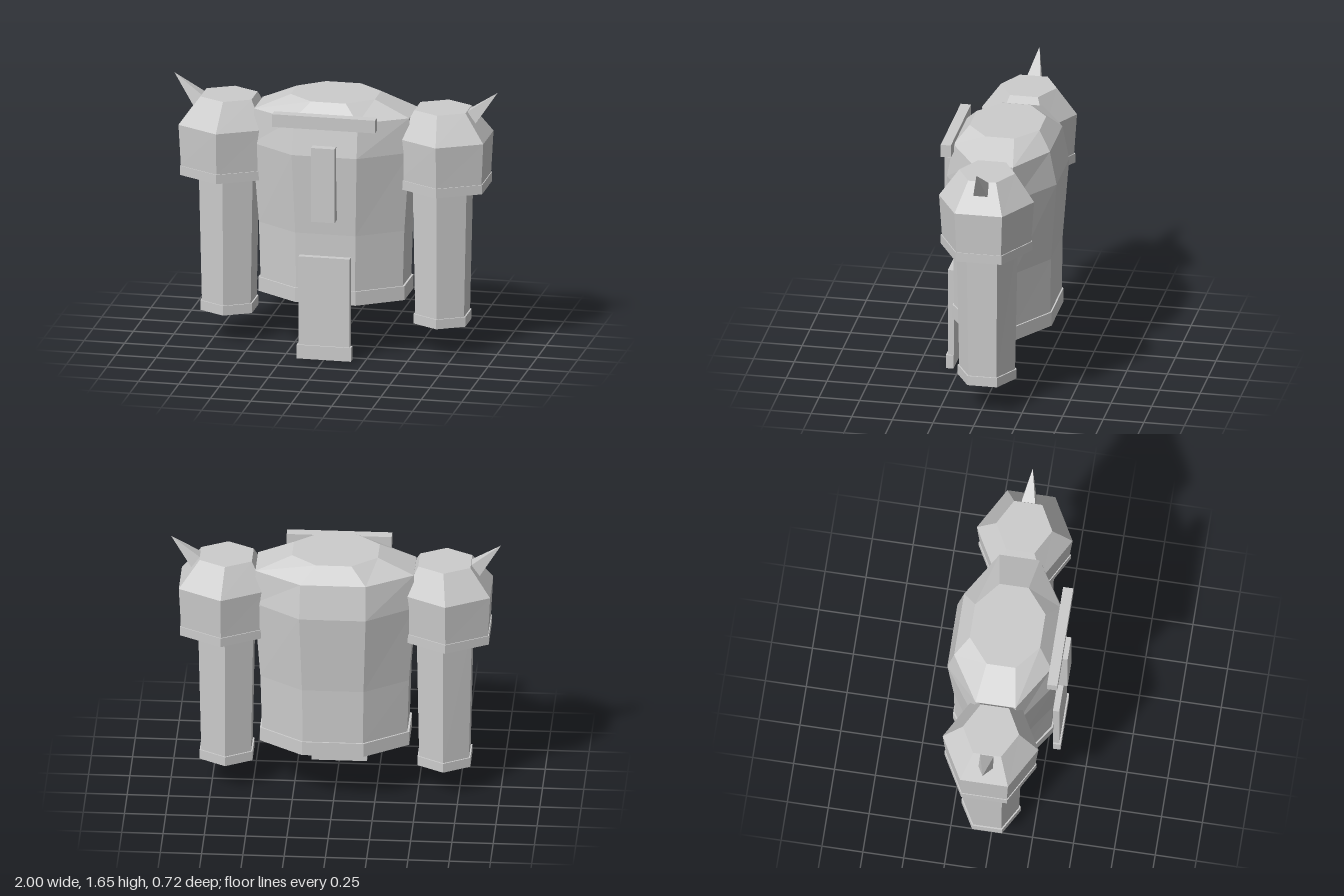
import * as THREE from 'three';

const steel = new THREE.MeshStandardMaterial({ color: 0xcccccc, flatShading: true, side: THREE.DoubleSide });
steel.name = 'plain grey';

// Faceted shell, open below: each ring is [y, half width, half depth, centre x]
function shell(name, sides, rings, capped, mirror = 1) {
  const step = (Math.PI * 2) / sides;
  const angles = Array.from({ length: sides }, (_, i) => (i + 0.5) * step);
  const maxX = Math.max(...angles.map((a) => Math.abs(Math.cos(a))));
  const maxZ = Math.max(...angles.map((a) => Math.abs(Math.sin(a))));
  const pos = [], index = [];
  for (const [y, hx, hz, cx = 0] of rings) {
    for (const a of angles) pos.push(cx * mirror + (hx * Math.cos(a)) / maxX, y, (hz * Math.sin(a)) / maxZ);
  }
  for (let j = 0; j < rings.length - 1; j++) {
    for (let i = 0; i < sides; i++) {
      const a = j * sides + i, b = j * sides + ((i + 1) % sides);
      index.push(a, a + sides, b, b, a + sides, b + sides);
    }
  }
  if (capped) {
    const top = (rings.length - 1) * sides;
    for (let i = 1; i < sides - 1; i++) index.push(top, top + i + 1, top + i);
  }
  const g = new THREE.BufferGeometry();
  g.setAttribute('position', new THREE.Float32BufferAttribute(pos, 3));
  g.setIndex(index);
  const flat = g.toNonIndexed();
  flat.computeVertexNormals();
  const mesh = new THREE.Mesh(flat, steel);
  mesh.name = name;
  mesh.position.z = -0.018;
  return mesh;
}

// Box given by its limits on each axis
function plate(name, [x0, x1], [y0, y1], [z0, z1]) {
  const mesh = new THREE.Mesh(new THREE.BoxGeometry(x1 - x0, y1 - y0, z1 - z0), steel);
  mesh.name = name;
  mesh.position.set((x0 + x1) / 2, (y0 + y1) / 2, (z0 + z1) / 2);
  return mesh;
}

// Sleeve, shoulder guard and spike for one side
function arm(side) {
  const group = new THREE.Group();
  group.name = side > 0 ? 'leftArm' : 'rightArm';
  group.add(shell('sleeve', 6, [
    [0.187, 0.16, 0.182, 0.66], [0.247, 0.16, 0.182, 0.66],
    [0.247, 0.151, 0.172, 0.66], [1.14, 0.168, 0.19, 0.662],
  ], false, side));
  group.add(shell('shoulderGuard', 6, [
    [1.047, 0.255, 0.282, 0.68], [1.105, 0.255, 0.282, 0.68],
    [1.105, 0.25, 0.275, 0.68], [1.365, 0.263, 0.293, 0.68],
    [1.535, 0.158, 0.172, 0.662],
  ], true, side));

  // Four-sided spike leaning outward at 45 degrees
  const length = 0.25;
  const cone = new THREE.ConeGeometry(0.07, length, 4);
  cone.rotateY(Math.PI / 4);
  cone.translate(0, -length / 2, 0);
  cone.rotateZ((-side * Math.PI) / 4);
  const spike = new THREE.Mesh(cone, steel);
  spike.name = 'shoulderSpike';
  spike.position.set(side, 1.65, -0.018);
  group.add(spike);
  return group;
}

export function createModel() {
  const model = new THREE.Group();
  model.name = 'armouredTunic';

  // Eight-sided body with hem band and domed top
  model.add(shell('body', 8, [
    [0.342, 0.452, 0.305], [0.43, 0.452, 0.305],
    [0.43, 0.44, 0.296], [0.78, 0.45, 0.301],
    [1.28, 0.486, 0.338], [1.492, 0.48, 0.297],
    [1.588, 0.26, 0.215],
  ], true));

  model.add(arm(1), arm(-1));

  // Front plates
  model.add(plate('collarBar', [-0.318, 0.318], [1.455, 1.535], [0.272, 0.335]));
  model.add(plate('chestStrip', [-0.073, 0.073], [0.878, 1.345], [0.29, 0.36]));
  model.add(plate('frontFlap', [-0.158, 0.158], [0.08, 0.643], [0.283, 0.322]));
  model.add(plate('flapHem', [-0.168, 0.168], [0, 0.086], [0.285, 0.332]));
  return model;
}
